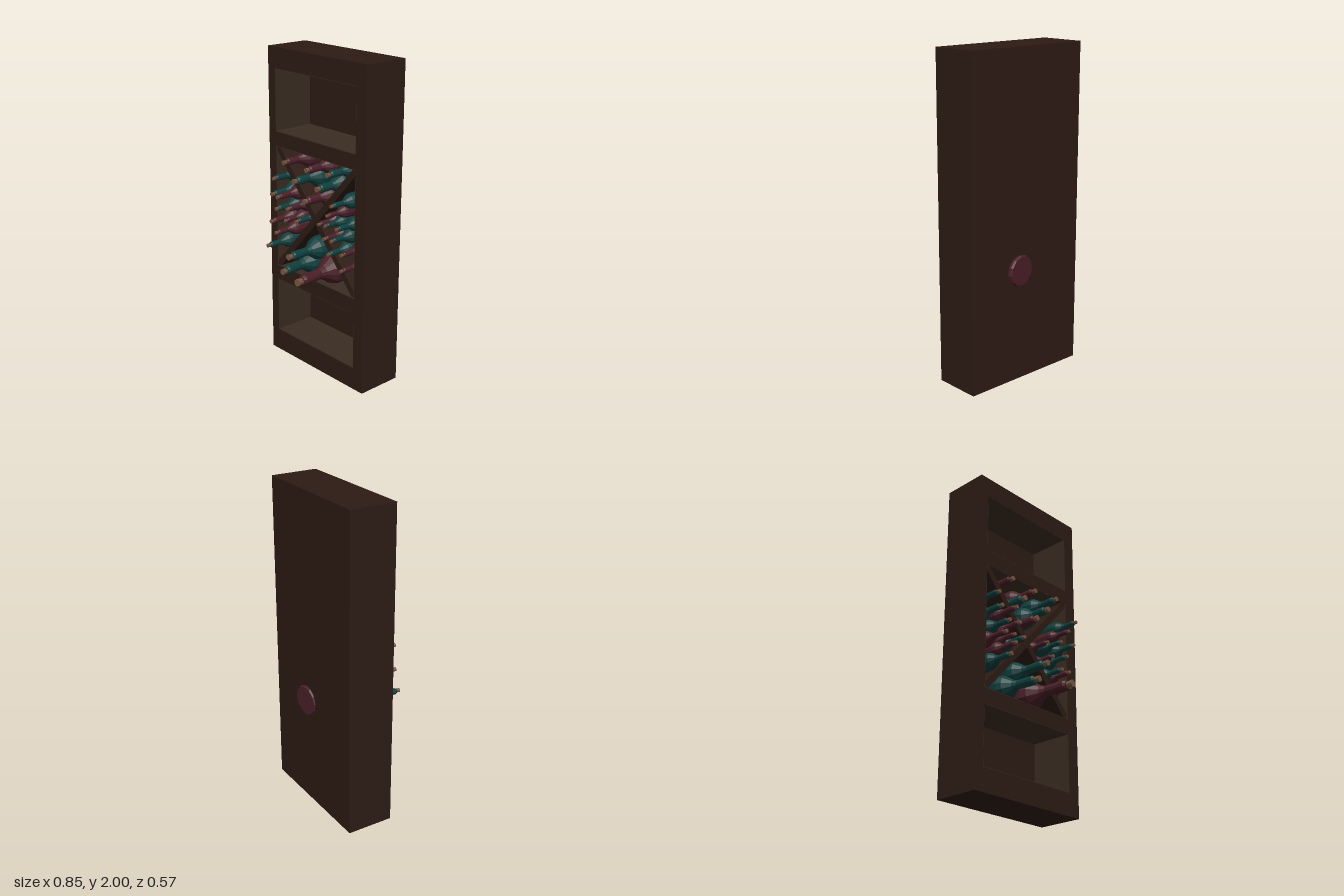
import * as THREE from 'three';

const material = (color, extra = {}) => new THREE.MeshStandardMaterial({ color, ...extra });
const wood = material(0x2d1b14);
const lining = material(0x3a2c21);
const redGlass = material(0x4a1f28, { flatShading: true });
const tealGlass = material(0x0d3f3d, { flatShading: true });
const corkMat = material(0x7a5640, { flatShading: true });

const FRONT = 0.035, INNER_BACK = -0.24, BACK = -0.26;
const X0 = -0.365, X1 = 0.345;
const OPENINGS = [[0.14, 0.507], [0.6, 1.395], [1.483, 1.873]];

function mesh(name, geometry, mat, parent) {
  const m = new THREE.Mesh(geometry, mat);
  m.name = name;
  parent.add(m);
  return m;
}

function rect(Type, x0, y0, x1, y1) {
  return new Type([[x0, y0], [x1, y0], [x1, y1], [x0, y1]].map(([x, y]) => new THREE.Vector2(x, y)));
}

function extrude(shape, z0, z1) {
  return new THREE.ExtrudeGeometry(shape, { depth: z1 - z0, bevelEnabled: false }).translate(0, 0, z0);
}

// Bottle along +y, base at the origin, with a flared cork in its neck
function makeBottle(radius, length, mat) {
  const bottle = new THREE.Group();
  const profile = [
    [0, 0], [0.94, 0], [1, 0.02], [1, 0.42], [0.9, 0.49], [0.66, 0.55], [0.46, 0.6],
    [0.34, 0.66], [0.36, 0.9], [0.27, 0.93], [0, 0.93],
  ].map(([r, t]) => new THREE.Vector2(r * radius, t * length));
  mesh('bottleGlass', new THREE.LatheGeometry(profile, 12), mat, bottle);
  const cork = new THREE.CylinderGeometry(0.24 * radius, 0.18 * radius, 0.09 * length, 10);
  mesh('cork', cork, corkMat, bottle).position.y = 0.955 * length;
  return bottle;
}

// Each bottle: glass, centre x, centre y, radius, z of cork tip, sideways and upward drift of the neck
const R = redGlass, T = tealGlass;
const BOTTLES = [
  // top compartment
  [R, -0.21, 1.33, 0.063, 0.105], [R, -0.01, 1.325, 0.063, 0.1], [T, 0.18, 1.34, 0.063, 0.105],
  [T, -0.11, 1.235, 0.073, 0.11], [T, 0.095, 1.235, 0.073, 0.11], [R, -0.01, 1.135, 0.073, 0.115],
  // left compartment
  [T, -0.318, 1.204, 0.052, 0.1], [T, -0.312, 1.108, 0.056, 0.12], [R, -0.222, 1.119, 0.052, 0.15],
  [T, -0.259, 1.03, 0.052, 0.13], [R, -0.164, 1.05, 0.05, 0.12], [R, -0.296, 0.94, 0.052, 0.14],
  [R, -0.196, 0.965, 0.043, 0.11], [T, -0.106, 0.98, 0.05, 0.1], [R, -0.233, 0.886, 0.047, 0.155],
  [T, -0.29, 0.79, 0.052, 0.175],
  // right compartment
  [T, 0.286, 1.194, 0.047, 0.17], [R, 0.233, 1.119, 0.042, 0.155], [T, 0.296, 1.05, 0.047, 0.14],
  [T, 0.19, 1.04, 0.042, 0.13], [R, 0.1, 1.018, 0.042, 0.1], [R, 0.148, 0.94, 0.047, 0.1],
  [T, 0.243, 0.96, 0.047, 0.13], [T, 0.206, 0.865, 0.047, 0.12], [R, 0.296, 0.88, 0.047, 0.1],
  [R, 0.296, 0.78, 0.047, 0.1],
  // bottom compartment
  [T, -0.062, 0.79, 0.076, 0.22, 0.026, 0.01], [T, -0.155, 0.678, 0.08, 0.215, 0.055, 0.005],
  [R, 0.052, 0.69, 0.096, 0.28, 0.062, 0.01],
];

export function createModel() {
  const model = new THREE.Group();
  model.name = 'wineCabinet';

  // Cabinet body with three openings
  const face = rect(THREE.Shape, -0.425, 0, 0.425, 2);
  for (const [y0, y1] of OPENINGS) face.holes.push(rect(THREE.Path, X0, y0, X1, y1));
  mesh('cabinetFrame', extrude(face, INNER_BACK, FRONT), wood, model);
  mesh('backPanel', new THREE.BoxGeometry(0.85, 2, INNER_BACK - BACK), wood, model)
    .position.set(0, 1, (INNER_BACK + BACK) / 2);

  // Paler lining of each opening
  const t = 0.004;
  for (const [y0, y1] of OPENINGS) {
    const ring = rect(THREE.Shape, X0, y0, X1, y1);
    ring.holes.push(rect(THREE.Path, X0 + t, y0 + t, X1 - t, y1 - t));
    mesh('openingLining', extrude(ring, INNER_BACK, FRONT - 0.002), lining, model);
  }

  // Crossed dividers of the bottle rack
  const [y0, y1] = OPENINGS[1];
  const w = X1 - X0, h = y1 - y0;
  for (const side of [-1, 1]) {
    const plate = new THREE.BoxGeometry(Math.hypot(w, h) + 0.02, 0.04, 0.265);
    const divider = mesh('rackDivider', plate, wood, model);
    divider.position.set((X0 + X1) / 2, (y0 + y1) / 2, -0.106 + side * 0.0005);
    divider.rotation.z = side * Math.atan2(h, w);
  }

  // Bottles lying with their necks to the front
  const up = new THREE.Vector3(0, 1, 0);
  for (const [mat, x, y, radius, tip, dx = 0, dy = 0] of BOTTLES) {
    const length = Math.min(radius * 5.8, tip + (dx > 0.06 ? 0.3 : 0.235));
    const bottle = makeBottle(radius, length, mat);
    bottle.name = 'bottle';
    const direction = new THREE.Vector3(dx, dy, length).normalize();
    bottle.quaternion.setFromUnitVectors(up, direction);
    bottle.position.set(x, y, tip - length);
    model.add(bottle);
  }
  return model;
}
